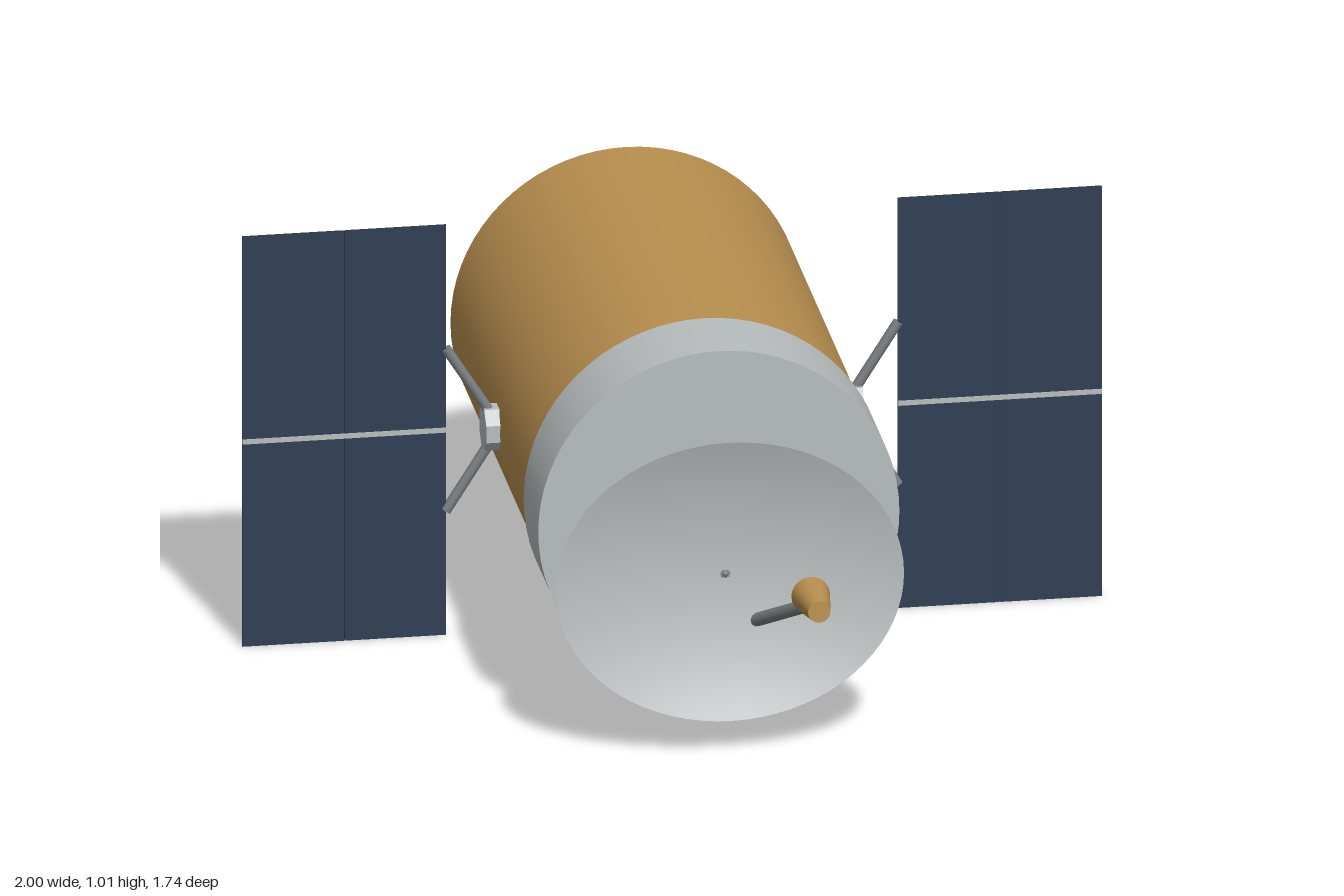
import * as THREE from 'three';

const mat = (name, color, side = THREE.FrontSide) => {
  const m = new THREE.MeshStandardMaterial({ color, side });
  m.name = name;
  return m;
};

export function createModel() {
  const gold = mat('gold foil', 0xb98f4f);
  const light = mat('light grey', 0xb8bdbd, THREE.DoubleSide);
  const steel = mat('strut grey', 0x7a7f83);
  const navy = mat('solar navy', 0x2f3f55);
  const backing = mat('panel backing', 0x868b90);
  const dark = mat('dark seam', 0x30363b);

  const model = new THREE.Group();
  model.name = 'satellite';
  const CY = 0.508, PZ = -0.209;

  const add = (parent, name, geometry, material, x = 0, y = 0, z = 0) => {
    const mesh = new THREE.Mesh(geometry, material);
    mesh.name = name;
    mesh.position.set(x, y, z);
    parent.add(mesh);
    return mesh;
  };
  // round bar or cone between two points
  const bar = (parent, name, a, b, r0, r1, material, sides = 10) => {
    const p = new THREE.Vector3(...a), q = new THREE.Vector3(...b);
    const d = q.clone().sub(p);
    const mesh = add(parent, name, new THREE.CylinderGeometry(r1, r0, d.length(), sides), material);
    mesh.position.copy(p).add(q).multiplyScalar(0.5);
    mesh.quaternion.setFromUnitVectors(new THREE.Vector3(0, 1, 0), d.normalize());
    return mesh;
  };

  // main barrel and front collar
  bar(model, 'body', [0, CY, -0.87], [0, CY, 0.27], 0.408, 0.408, gold, 72);
  bar(model, 'frontCollar', [0, CY, 0.253], [0, CY, 0.463], 0.42, 0.42, light, 72);

  // shallow elliptical dish, tipped slightly upward
  const depth = 0.066;
  const profile = Array.from({ length: 13 }, (_, i) => new THREE.Vector2(i / 12, depth * (i / 12) ** 2));
  const dishGeo = new THREE.LatheGeometry(profile, 72);
  dishGeo.rotateX(Math.PI / 2);
  dishGeo.scale(0.405, 0.335, 1);
  const dish = add(model, 'dish', dishGeo, light, 0, 0.416, 0.556);
  dish.rotation.x = -0.067;

  // dish supports
  for (const s of [-1, 1]) {
    bar(model, 'dishStrut', [s * 0.028, 0.385, 0.45], [0, 0.416, 0.557], 0.011, 0.011, steel);
  }
  add(model, 'dishCentre', new THREE.SphereGeometry(0.008, 10, 8), steel, 0, 0.416, 0.556);

  // feed arm and horn
  bar(model, 'feedArm', [0.017, 0.238, 0.45], [0.164, 0.412, 0.77], 0.016, 0.016, steel);
  bar(model, 'feedHorn', [0.168, 0.424, 0.745], [0.168, 0.431, 0.868], 0.045, 0.026, gold, 24);

  // solar wings
  const cellFaces = [dark, dark, dark, dark, navy, backing];
  for (const s of [-1, 1]) {
    const wing = new THREE.Group();
    wing.name = s > 0 ? 'leftWing' : 'rightWing';
    model.add(wing);

    // four cells, dark on the front and grey on the back
    for (const x of [0.6435, 0.8815]) {
      for (const y of [-0.2535, 0.2535]) {
        add(wing, 'solarCell', new THREE.BoxGeometry(0.236, 0.503, 0.006), cellFaces, s * x, CY + y, PZ);
      }
    }
    // seams between the cells
    add(wing, 'verticalSeam', new THREE.BoxGeometry(0.003, 1.005, 0.004), dark, s * 0.7625, CY, PZ);
    add(wing, 'rearVerticalSeam', new THREE.BoxGeometry(0.009, 1.005, 0.002), dark, s * 0.7625, CY, PZ - 0.0035);
    add(wing, 'rearCrossSeam', new THREE.BoxGeometry(0.474, 0.015, 0.002), dark, s * 0.7625, CY, PZ - 0.0035);
    add(wing, 'frontRail', new THREE.BoxGeometry(0.474, 0.012, 0.004), light, s * 0.7625, CY, PZ + 0.003);

    // octagonal hub on the barrel
    const hub = new THREE.CylinderGeometry(0.054, 0.054, 0.05, 8).toNonIndexed();
    hub.rotateY(Math.PI / 8);
    hub.rotateZ(Math.PI / 2);
    hub.computeVertexNormals();
    add(wing, 'hub', hub, light, s * 0.415, CY, PZ);

    // pair of struts out to the panel edge
    for (const v of [-1, 1]) {
      bar(wing, 'wingStrut', [s * 0.423, CY + v * 0.037, PZ], [s * 0.526, CY + v * 0.2, PZ], 0.012, 0.012, steel);
    }
  }
  return model;
}
